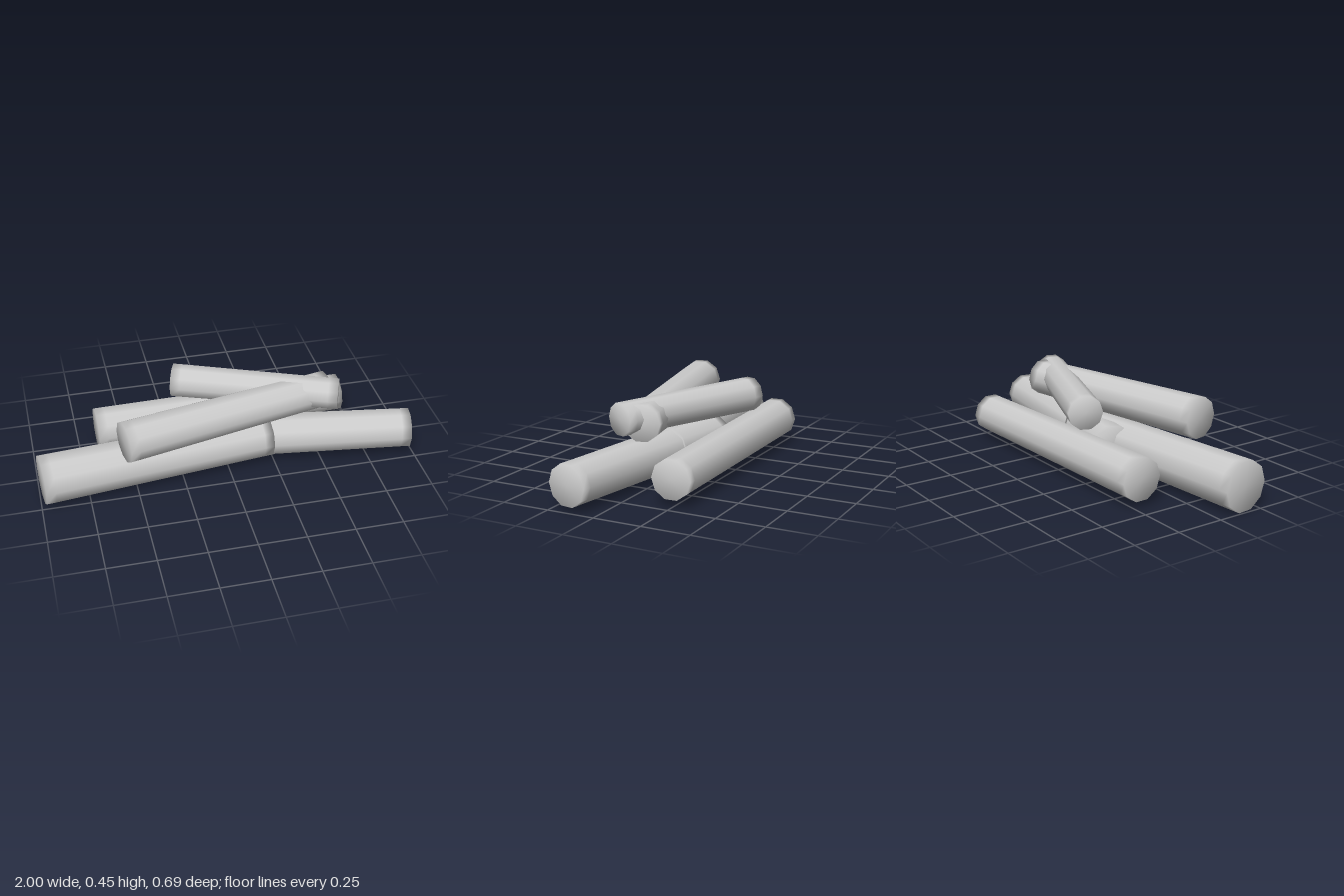
import * as THREE from 'three';

const material = new THREE.MeshStandardMaterial({ color: 0xcccccc });

// Tapered ten-sided log between two end centres, softly shaded over its end faces
function makeLog(name, from, to, r0, r1) {
  const a = new THREE.Vector3(...from);
  const b = new THREE.Vector3(...to);
  const d = b.clone().sub(a);
  const len = d.length();
  const inset = 0.05;
  const profile = [[0, 0], [r0, 0], [r0, inset], [r1, len - inset], [r1, len], [0, len]]
    .map(([r, y]) => new THREE.Vector2(r, y));
  const geometry = new THREE.LatheGeometry(profile, 10);
  // lay the axis along x, then pitch and turn it toward the far end
  geometry.rotateZ(-Math.PI / 2 + Math.atan2(d.y, Math.hypot(d.x, d.z)));
  geometry.rotateY(-Math.atan2(d.z, d.x));
  const mesh = new THREE.Mesh(geometry, material);
  mesh.position.copy(a);
  mesh.name = name;
  return mesh;
}

export function createModel() {
  const group = new THREE.Group();
  group.name = 'logPile';
  group.add(
    // bottom layer
    makeLog('lowerBackLog', [-0.655, 0.137, -0.2], [0.707, 0.137, -0.245], 0.112, 0.103),
    makeLog('lowerLeftLog', [-0.985, 0.126, 0.165], [0.23, 0.128, 0.045], 0.131, 0.118),
    makeLog('lowerRightLog', [-0.19, 0.128, -0.015], [0.982, 0.128, 0.155], 0.116, 0.107),
    // top layer
    makeLog('upperFrontLog', [-0.562, 0.342, 0.235], [0.55, 0.345, 0.0], 0.108, 0.096),
    makeLog('upperCrossLog', [-0.225, 0.365, -0.23], [0.595, 0.364, 0.096], 0.09, 0.084),
  );
  return group;
}
